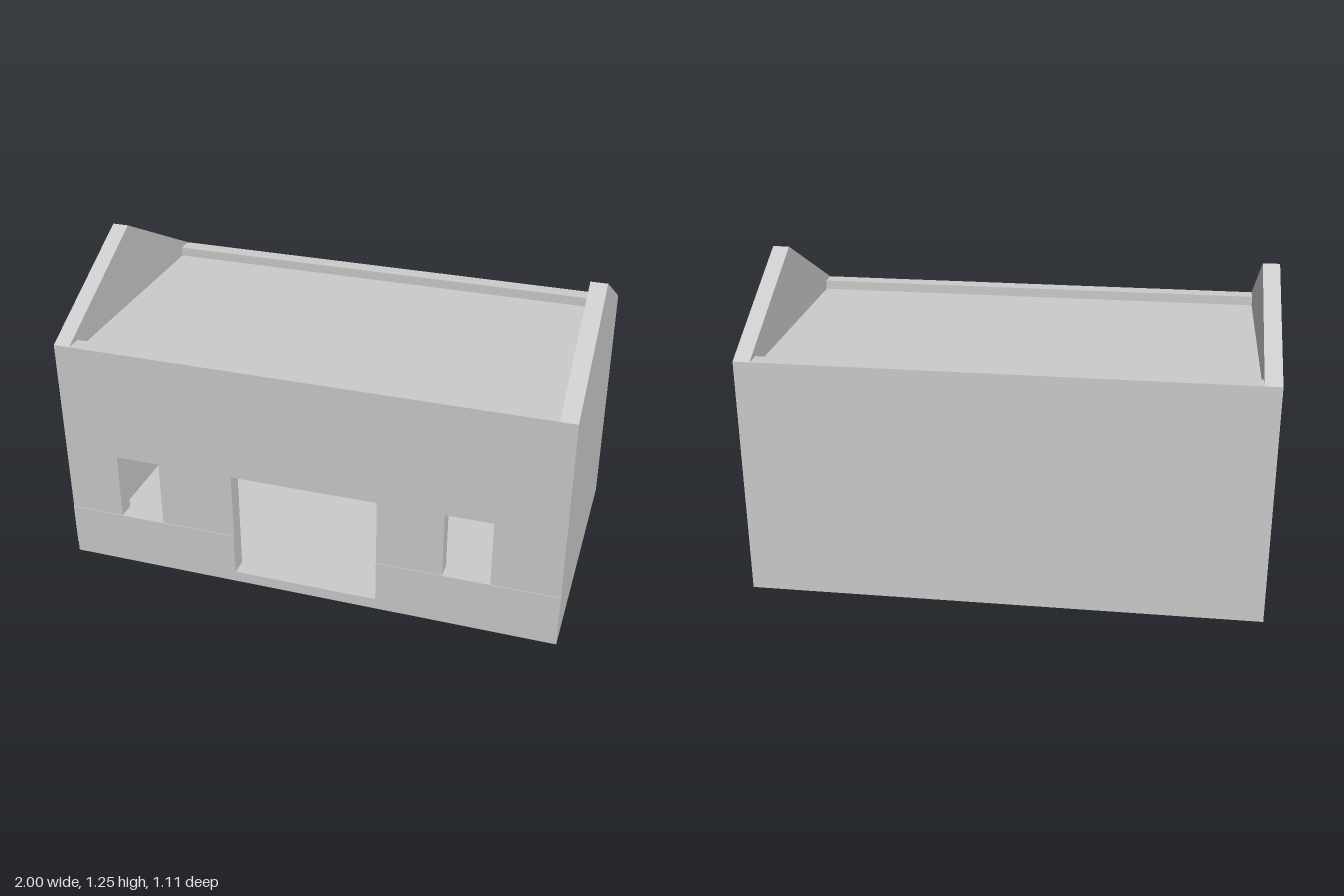
import * as THREE from 'three';

const HALF_W = 1, INNER_W = 0.935;        // outer and inner half width
const FRONT = 0.554, BACK = -0.556;       // outer faces of the long walls
const WALL = 0.067, EAVE = 0.958, RIDGE = 1.246;
const FLOOR = 0.045, OPENING_TOP = 0.495, SILL = 0.22;
const DOOR = [-0.295, 0.29];

export function createModel() {
  const model = new THREE.Group();
  const material = new THREE.MeshStandardMaterial({ color: 0xcccccc, flatShading: true });

  const add = (name, geometry) => {
    const mesh = new THREE.Mesh(geometry, material);
    mesh.name = name;
    model.add(mesh);
    return mesh;
  };

  // Box given by its limits along each axis
  const box = (name, x0, x1, y0, y1, z0, z1) =>
    add(name, new THREE.BoxGeometry(x1 - x0, y1 - y0, z1 - z0))
      .position.set((x0 + x1) / 2, (y0 + y1) / 2, (z0 + z1) / 2);

  const polygon = (points) => new THREE.Shape(points.map(([x, y]) => new THREE.Vector2(x, y)));
  const rectangle = (x0, x1, y0, y1) => polygon([[x0, y0], [x1, y0], [x1, y1], [x0, y1]]);

  // Front wall with a wide doorway and two windows
  const front = rectangle(-INNER_W, INNER_W, 0, EAVE);
  front.holes.push(
    rectangle(...DOOR, FLOOR, OPENING_TOP),
    rectangle(-0.78, -0.6, SILL, OPENING_TOP),
    rectangle(0.55, 0.735, SILL, OPENING_TOP)
  );
  add('frontWall', new THREE.ExtrudeGeometry(front, { depth: WALL, bevelEnabled: false }))
    .position.z = FRONT - WALL;

  // Plain back wall
  box('backWall', -INNER_W, INNER_W, 0, EAVE, BACK, BACK + WALL);

  // Gable end walls, drawn in the z-y plane and turned sideways
  const gable = polygon([[-FRONT, 0], [-BACK, 0], [-BACK, EAVE], [0, RIDGE], [-FRONT, EAVE]]);
  for (const [name, x] of [['rightGable', -HALF_W], ['leftGable', INNER_W]]) {
    const geometry = new THREE.ExtrudeGeometry(gable, { depth: HALF_W - INNER_W, bevelEnabled: false });
    geometry.rotateY(Math.PI / 2);
    add(name, geometry).position.x = x;
  }

  // Ground floor and attic floor slabs between the walls
  box('groundFloor', -INNER_W, INNER_W, 0, FLOOR, BACK + WALL, FRONT - WALL);
  box('atticFloor', -INNER_W, INNER_W, 0.875, 0.92, BACK + WALL, FRONT - WALL);

  // Thin plinth facing on both sides of the doorway
  box('rightPlinth', -HALF_W, DOOR[0], FLOOR, SILL, FRONT - 0.01, FRONT + 0.003);
  box('leftPlinth', DOOR[1], HALF_W, FLOOR, SILL, FRONT - 0.01, FRONT + 0.003);

  return model;
}
